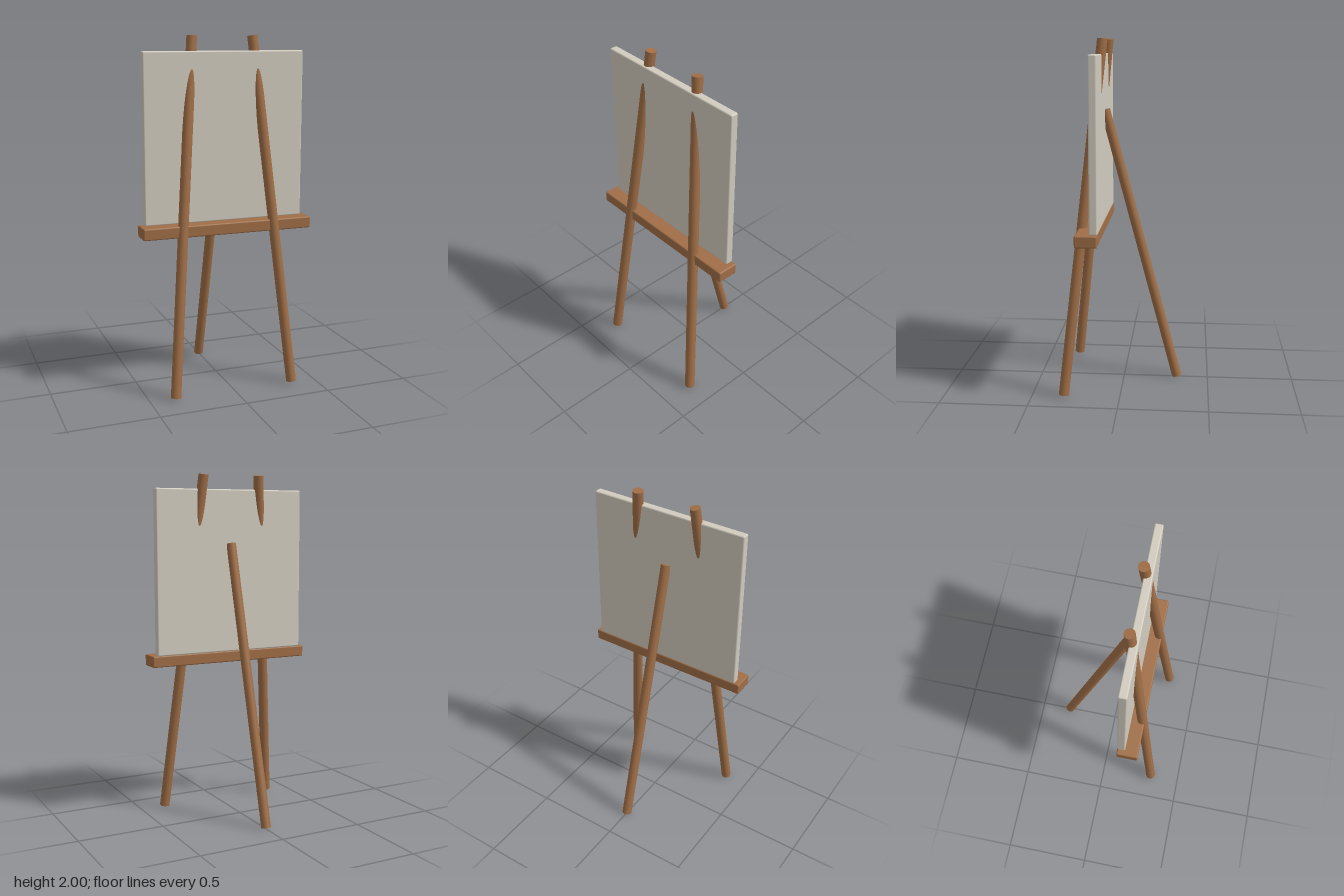
import * as THREE from 'three';
import { RoundedBoxGeometry } from 'three/addons/geometries/RoundedBoxGeometry.js';

export function createModel() {
  const easel = new THREE.Group();
  easel.name = 'easel';

  const wood = new THREE.MeshStandardMaterial({ color: 0xa06e46 });
  wood.name = 'wood';
  const canvasCloth = new THREE.MeshStandardMaterial({ color: 0xd2ccbf });
  canvasCloth.name = 'canvas cloth';

  // Round pole between two points
  function pole(name, bottom, top, radius) {
    const a = new THREE.Vector3(...bottom);
    const b = new THREE.Vector3(...top);
    const axis = b.clone().sub(a);
    const mesh = new THREE.Mesh(new THREE.CylinderGeometry(radius, radius, axis.length(), 24), wood);
    mesh.position.copy(a).add(b).multiplyScalar(0.5);
    mesh.quaternion.setFromUnitVectors(new THREE.Vector3(0, 1, 0), axis.normalize());
    mesh.name = name;
    easel.add(mesh);
  }

  // Softly bevelled block given by its ranges in y and z
  function block(name, width, [y0, y1], [z0, z1], bevel, material) {
    const mesh = new THREE.Mesh(new RoundedBoxGeometry(width, y1 - y0, z1 - z0, 2, bevel), material);
    mesh.position.set(0, (y0 + y1) / 2, (z0 + z1) / 2);
    mesh.name = name;
    easel.add(mesh);
  }

  // Front legs lean inwards and back, piercing the canvas near the top
  for (const [name, side] of [['leftFrontLeg', 1], ['rightFrontLeg', -1]]) {
    pole(name, [side * 0.354, 0.014, 0.317], [side * 0.178, 1.997, 0.106], 0.029);
  }

  // Rear prop leg
  pole('backLeg', [0, 0.01, -0.316], [0, 1.602, 0.11], 0.028);

  // Tray and the canvas standing on it
  block('tray', 1.0, [0.904, 0.97], [0.108, 0.231], 0.008, wood);
  block('canvas', 0.94, [0.968, 1.916], [0.108, 0.154], 0.008, canvasCloth);

  return easel;
}
